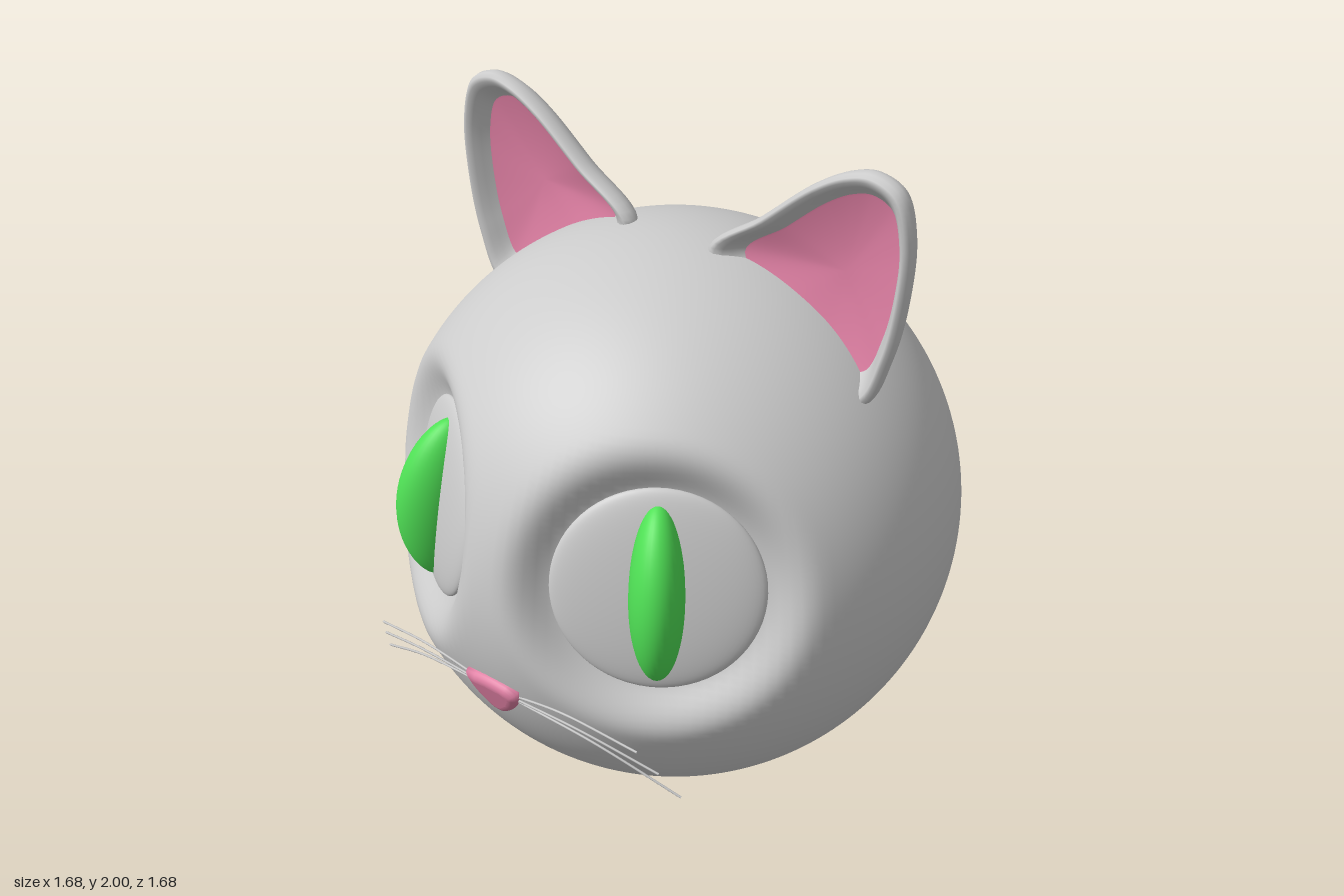
import * as THREE from 'three';
import { mergeVertices } from 'three/addons/utils/BufferGeometryUtils.js';

const V = (x, y, z) => new THREE.Vector3(x, y, z);
const R = 0.84;
const grey = new THREE.MeshStandardMaterial({ color: 0xcccccc });
const pink = new THREE.MeshStandardMaterial({ color: 0xe080a4 });
const green = new THREE.MeshStandardMaterial({ color: 0x4fe055 });
const eyeAxis = (side) => V(0.55 * side, 0.165, 0.816).normalize();

function part(name, geometry, material) {
  const mesh = new THREE.Mesh(geometry, material);
  mesh.name = name;
  return mesh;
}

// Weld the vertices so that the normals run smoothly over seams
function smooth(geometry) {
  geometry.deleteAttribute('uv');
  geometry.deleteAttribute('normal');
  const welded = mergeVertices(geometry, 1e-5);
  welded.computeVertexNormals();
  return welded;
}

// Ball with a soft, flat-bottomed socket pressed in around each eye axis
function createHead() {
  const geometry = new THREE.SphereGeometry(R, 160, 120);
  const pos = geometry.attributes.position;
  const p = V(0, 0, 0);
  for (let i = 0; i < pos.count; i++) {
    p.fromBufferAttribute(pos, i);
    for (const side of [1, -1]) {
      const n = eyeAxis(side);
      const h = p.dot(n);
      const r = Math.sqrt(Math.max(0, p.lengthSq() - h * h));
      if (h > 0 && r < 0.45) {
        const t = THREE.MathUtils.smoothstep(r, 0.26, 0.44);
        p.addScaledVector(n, (1 - t) * (0.68 - h));
      }
    }
    pos.setXYZ(i, p.x, p.y, p.z);
  }
  const head = part('head', smooth(geometry), grey);
  head.position.y = R;
  return head;
}

// Shallow domed eye with a tall slit pupil that bends with the dome
function createEye(side) {
  const eye = new THREE.Group();
  eye.name = side > 0 ? 'leftEye' : 'rightEye';
  const ball = new THREE.SphereGeometry(0.287, 64, 32);
  ball.scale(1, 1, 0.15);
  ball.translate(0, 0, 0.69);

  const slit = new THREE.SphereGeometry(1, 32, 32);
  slit.scale(0.074, 0.253, 0.1);
  const pos = slit.attributes.position;
  for (let i = 0; i < pos.count; i++) {
    const y = pos.getY(i);
    pos.setZ(i, pos.getZ(i) - 0.6 * y * y);
  }
  slit.translate(0, -0.005, 0.735);
  eye.add(part('eyeball', ball, grey), part('pupil', smooth(slit), green));
  eye.position.y = R;
  eye.lookAt(eyeAxis(side).add(eye.position));
  return eye;
}

// Surface through scaled copies of an outline; profile rows are [scale, z]
function loft(outline, centre, profile) {
  const n = outline.length;
  const verts = [];
  const index = [];
  profile.forEach(([s, z], j) => {
    outline.forEach((p, i) => {
      verts.push(centre.x + (p.x - centre.x) * s, centre.y + (p.y - centre.y) * s, z);
      if (j === profile.length - 1) return;
      const a = j * n + i;
      const b = j * n + ((i + 1) % n);
      index.push(a, a + n, b, b, a + n, b + n);
    });
  });
  const geometry = new THREE.BufferGeometry();
  geometry.setAttribute('position', new THREE.Float32BufferAttribute(verts, 3));
  geometry.setIndex(index);
  return smooth(geometry);
}

// Cupped ear: domed back, rolled rim and pink hollow
function createEar(side) {
  const ear = new THREE.Group();
  ear.name = side > 0 ? 'leftEar' : 'rightEar';
  const points = [
    [0.13, 1.66], [0.3, 1.8], [0.46, 1.93], [0.56, 1.985], [0.64, 2.0], [0.715, 1.965],
    [0.75, 1.85], [0.745, 1.68], [0.71, 1.5], [0.64, 1.35], [0.5, 1.35], [0.3, 1.5],
  ].map(([x, y]) => V(x * side, y, 0));
  if (side < 0) points.reverse();
  const outline = new THREE.CatmullRomCurve3(points, true).getPoints(96).slice(0, -1);
  const centre = V(0.52 * side, 1.68, 0);

  const shell = [];
  for (let i = 0; i <= 12; i++) {
    const a = (i / 12) * Math.PI / 2;
    shell.push([Math.sin(a), 0.015 - 0.12 * Math.cos(a)]);
  }
  shell.push([0.99, 0.032], [0.96, 0.043], [0.92, 0.043], [0.87, 0.03], [0.82, 0.008], [0.77, -0.012], [0.72, -0.03]);
  const hollow = [[0.79, -0.012], [0.74, -0.018], [0.5, -0.035], [0.25, -0.045], [0, -0.05]];
  ear.add(part('earShell', loft(outline, centre, shell), grey));
  ear.add(part('innerEar', loft(outline, centre, hollow), pink));
  return ear;
}

// Rounded triangular nose lying against the head
function createNose() {
  const shape = new THREE.Shape();
  shape.moveTo(-0.012, -0.045);
  shape.quadraticCurveTo(0, -0.05, 0.012, -0.045);
  shape.quadraticCurveTo(0.055, -0.01, 0.064, 0.032);
  shape.quadraticCurveTo(0, 0.046, -0.064, 0.032);
  shape.quadraticCurveTo(-0.055, -0.01, -0.012, -0.045);
  const geometry = new THREE.ExtrudeGeometry(shape, {
    depth: 0.02, bevelSize: 0.024, bevelThickness: 0.022, bevelSegments: 6, curveSegments: 10,
  });
  const nose = part('nose', smooth(geometry), pink);
  nose.position.set(0, 0.586, 0.778);
  nose.rotation.x = 0.33;
  return nose;
}

// Three thin curved whiskers on each cheek
function createWhiskers(side) {
  const group = new THREE.Group();
  group.name = side > 0 ? 'leftWhiskers' : 'rightWhiskers';
  const paths = [
    [[0.07, 0.6, 0.8], [0.25, 0.63, 0.805], [0.47, 0.59, 0.77]],
    [[0.07, 0.59, 0.8], [0.29, 0.58, 0.785], [0.51, 0.51, 0.73]],
    [[0.07, 0.58, 0.795], [0.31, 0.535, 0.76], [0.55, 0.42, 0.685]],
  ];
  for (const path of paths) {
    const curve = new THREE.CatmullRomCurve3(path.map(([x, y, z]) => V(x * side, y, z)));
    group.add(part('whisker', new THREE.TubeGeometry(curve, 24, 0.0035, 6), grey));
  }
  return group;
}

export function createModel() {
  const model = new THREE.Group();
  model.name = 'catHead';
  model.add(createHead(), createNose());
  for (const side of [1, -1]) {
    model.add(createEye(side), createEar(side), createWhiskers(side));
  }
  return model;
}
